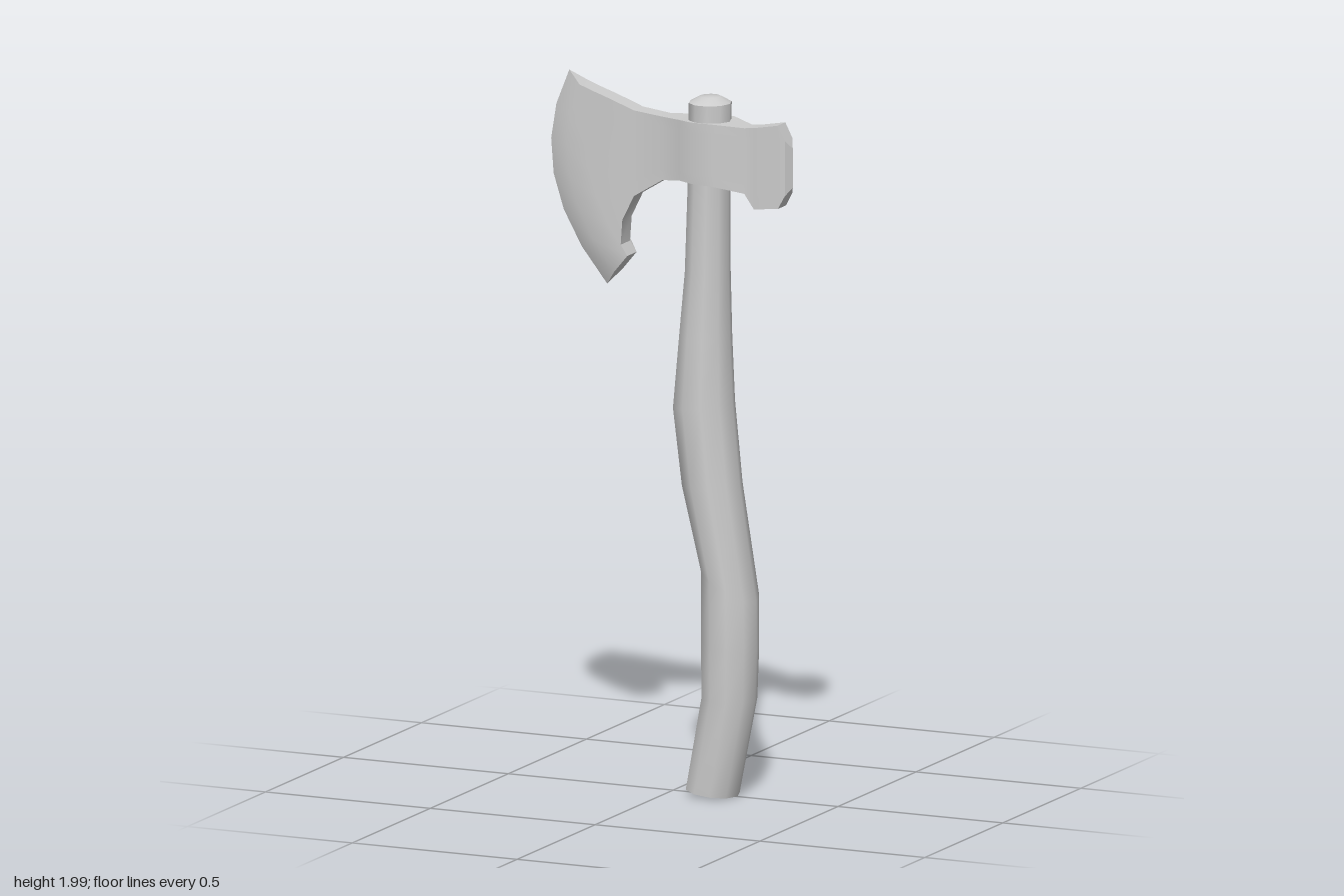
import * as THREE from 'three';
import { toCreasedNormals } from 'three/addons/utils/BufferGeometryUtils.js';

// Skin a series of closed loops with quads; collapsed loops act as caps or edges.
function skin(loops, crease) {
  const pos = [];
  const tri = (a, b, c) => {
    const area = b.clone().sub(a).cross(c.clone().sub(a)).length();
    if (area > 1e-8) for (const p of [a, b, c]) pos.push(p.x, p.y, p.z);
  };
  for (let i = 0; i < loops.length - 1; i++) {
    const A = loops[i], B = loops[i + 1], n = A.length;
    for (let j = 0; j < n; j++) {
      const k = (j + 1) % n;
      tri(A[j], A[k], B[k]);
      tri(A[j], B[k], B[j]);
    }
  }
  const g = new THREE.BufferGeometry();
  g.setAttribute('position', new THREE.Float32BufferAttribute(pos, 3));
  return toCreasedNormals(g, crease);
}

// Curved handle: left x, left y, right x, right y, half depth
function handleGeometry() {
  const sections = [
    [0.12, 0.016, 0.12, 0.016, 0],
    [0.045, 0.025, 0.195, 0.008, 0.076],
    [0.093, 0.285, 0.248, 0.28, 0.08],
    [0.093, 0.45, 0.253, 0.42, 0.084],
    [0.093, 0.65, 0.252, 0.56, 0.086],
    [0.035, 0.877, 0.202, 0.88, 0.088],
    [0.007, 1.09, 0.18, 1.11, 0.087],
    [0.025, 1.29, 0.172, 1.29, 0.077],
    [0.042, 1.475, 0.168, 1.475, 0.067],
    [0.05, 1.72, 0.168, 1.72, 0.062],
    [0.053, 1.948, 0.172, 1.948, 0.062],
    [0.083, 1.965, 0.142, 1.965, 0.03],
    [0.113, 1.966, 0.113, 1.966, 0],
  ];
  const sides = 10;
  const loops = sections.map(([xl, yl, xr, yr, rz]) =>
    Array.from({ length: sides }, (_, j) => {
      const a = (j / sides) * Math.PI * 2, s = (1 + Math.cos(a)) / 2;
      return new THREE.Vector3(xl + (xr - xl) * s, yl + (yr - yl) * s, -rz * Math.sin(a));
    }));
  return skin(loops, 0.8);
}

// Axe head from cutting edge to poll: top x, top y, bottom x, bottom y, bulge, half thickness
function headGeometry() {
  const stations = [
    [-0.315, 2.0, -0.2, 1.41, -0.105, 0],
    [-0.27, 1.968, -0.165, 1.452, -0.083, 0.03],
    [-0.225, 1.952, -0.125, 1.5, -0.06, 0.03],
    [-0.2, 1.944, -0.145, 1.53, -0.038, 0.03],
    [-0.16, 1.93, -0.14, 1.6, -0.02, 0.03],
    [-0.105, 1.91, -0.105, 1.67, 0, 0.029],
    [-0.02, 1.9, -0.02, 1.722, 0, 0.027],
    [0.04, 1.9, 0.04, 1.73, 0, 0.046],
    [0.085, 1.9, 0.085, 1.728, 0, 0.064],
    [0.155, 1.9, 0.155, 1.725, 0, 0.064],
    [0.228, 1.89, 0.228, 1.706, 0, 0.026],
    [0.257, 1.893, 0.257, 1.665, 0, 0.026],
    [0.328, 1.906, 0.33, 1.673, 0, 0.026],
    [0.35, 1.865, 0.35, 1.71, 0, 0.024],
    [0.363, 1.84, 0.363, 1.73, 0, 0],
  ];
  const rows = 6;
  const loops = stations.map(([xt, yt, xb, yb, bulge, t]) => {
    const side = (sign) => Array.from({ length: rows + 1 }, (_, r) => {
      const v = r / rows;
      return new THREE.Vector3(
        xt + (xb - xt) * v + bulge * 4 * v * (1 - v), yt + (yb - yt) * v, sign * t);
    });
    return [...side(1), ...side(-1).reverse()];
  });
  return skin(loops, 0.6);
}

export function createModel() {
  const model = new THREE.Group();
  model.name = 'axe';
  const grey = new THREE.MeshStandardMaterial({ color: 0xcccccc });
  grey.name = 'grey';
  const add = (name, geometry) => {
    const mesh = new THREE.Mesh(geometry, grey);
    mesh.name = name;
    model.add(mesh);
  };
  add('handle', handleGeometry());
  add('axeHead', headGeometry());
  return model;
}
